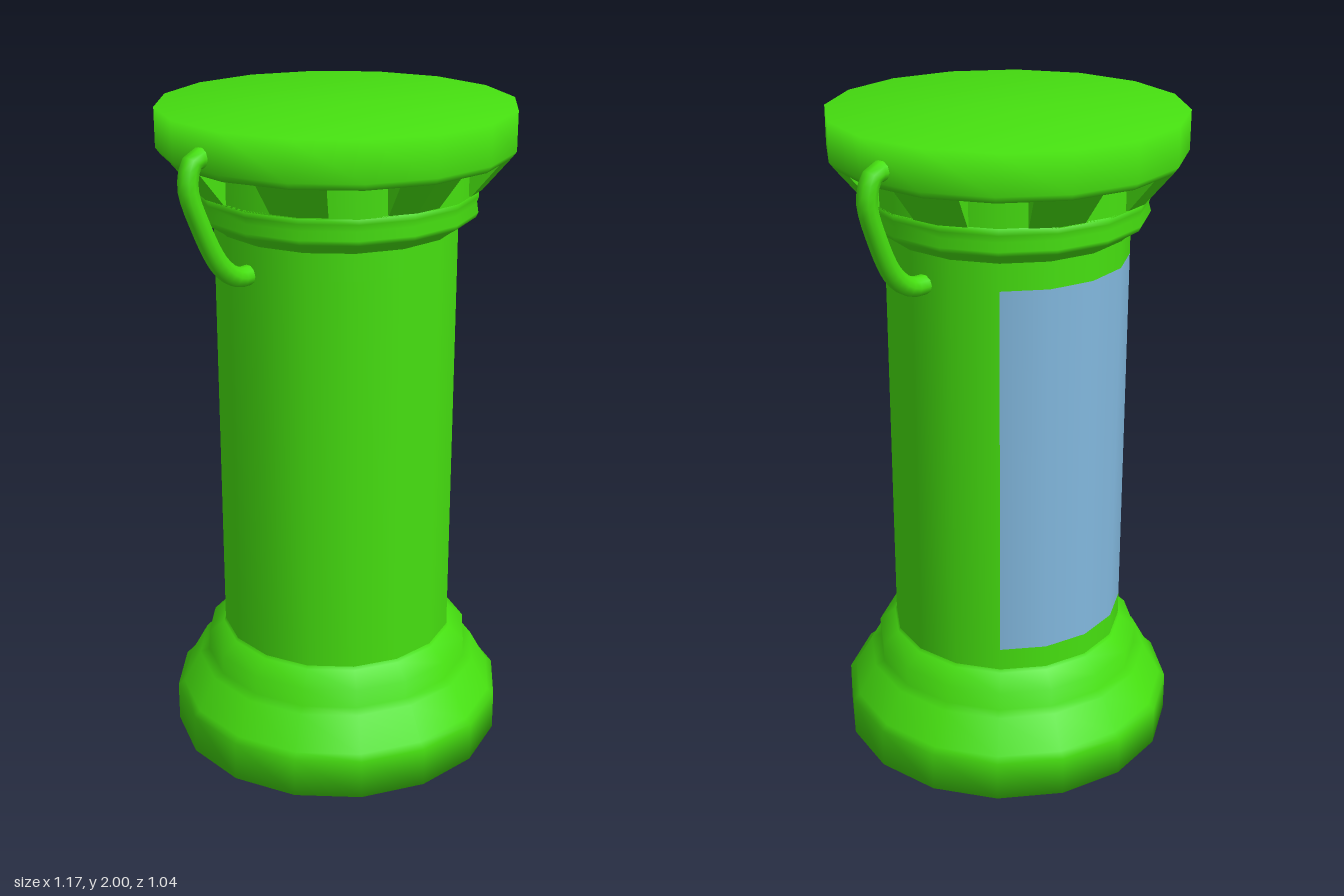
import * as THREE from 'three';
import { ConvexGeometry } from 'three/addons/geometries/ConvexGeometry.js';

const SIDES = 16;
const STEP = (Math.PI * 2) / SIDES;

export function createModel() {
  const group = new THREE.Group();
  const green = new THREE.MeshStandardMaterial({ color: 0x46e010 });
  const greenThin = new THREE.MeshStandardMaterial({ color: 0x46e010, side: THREE.DoubleSide });
  const blue = new THREE.MeshStandardMaterial({ color: 0x82b8de, side: THREE.DoubleSide });

  const add = (name, geometry, material = green) => {
    const mesh = new THREE.Mesh(geometry, material);
    mesh.name = name;
    group.add(mesh);
    return mesh;
  };
  // Turned part from [radius, height] pairs, listed bottom to top
  const turned = (name, profile, material = green, start = 0, sides = SIDES) =>
    add(name, new THREE.LatheGeometry(
      profile.map(([r, y]) => new THREE.Vector2(r, y)), sides, start, sides * STEP), material);

  // Stepped base
  turned('base', [[0, 0], [0.52, 0], [0.52, 0.125], [0.5, 0.14], [0.445, 0.24],
    [0.415, 0.25], [0.415, 0.31], [0.365, 0.35], [0.36, 0.36]]);

  // Column, left open at the back for the window
  const R = 0.36, sill = 0.43, lintel = 1.575;
  turned('lowerColumn', [[R, 0.34], [R, sill]]);
  turned('columnWall', [[R, sill], [R, lintel]], greenThin, Math.PI + 2 * STEP, SIDES - 4);
  turned('upperColumn', [[R, lintel], [R, 1.67]]);
  turned('window', [[R, sill], [R, lintel]], blue, Math.PI - 2 * STEP, 4);

  // Neck ring and the recessed wall behind the ribs
  turned('neckRing', [[R, 1.655], [0.37, 1.665], [0.41, 1.69], [0.417, 1.705],
    [0.41, 1.73], [0.417, 1.75], [0.417, 1.77], [0.4, 1.775]]);
  turned('slotWall', [[0.417, 1.765], [0.417, 1.87]]);

  // Eight flared ribs, leaving a slot between each pair
  const points = [];
  for (const [r, y] of [[0.425, 1.77], [0.505, 1.865], [0.39, 1.77], [0.39, 1.865]]) {
    for (const side of [-1, 0, 1]) {
      const a = side * STEP / 2, rr = side ? r * Math.cos(STEP / 2) : r;
      points.push(new THREE.Vector3(rr * Math.sin(a), y, rr * Math.cos(a)));
    }
  }
  const ribGeometry = new ConvexGeometry(points);
  for (let i = 0; i < 8; i++) add('rib', ribGeometry).rotation.y = (2 * i + 1) * STEP;

  // Cap
  turned('cap', [[0.4, 1.86], [0.505, 1.865], [0.52, 1.885], [0.52, 2], [0, 2]]);

  // Curved side handles
  for (const s of [-1, 1]) {
    const path = new THREE.CatmullRomCurve3([
      [0.33, 1.565, -0.045], [0.4, 1.57, -0.048], [0.46, 1.615, -0.054], [0.525, 1.74, -0.066],
      [0.558, 1.85, -0.075], [0.535, 1.915, -0.075], [0.49, 1.92, -0.07],
    ].map(([x, y, z]) => new THREE.Vector3(s * x, y, z)));
    add(s > 0 ? 'leftHandle' : 'rightHandle', new THREE.TubeGeometry(path, 20, 0.029, 10));
  }
  return group;
}
